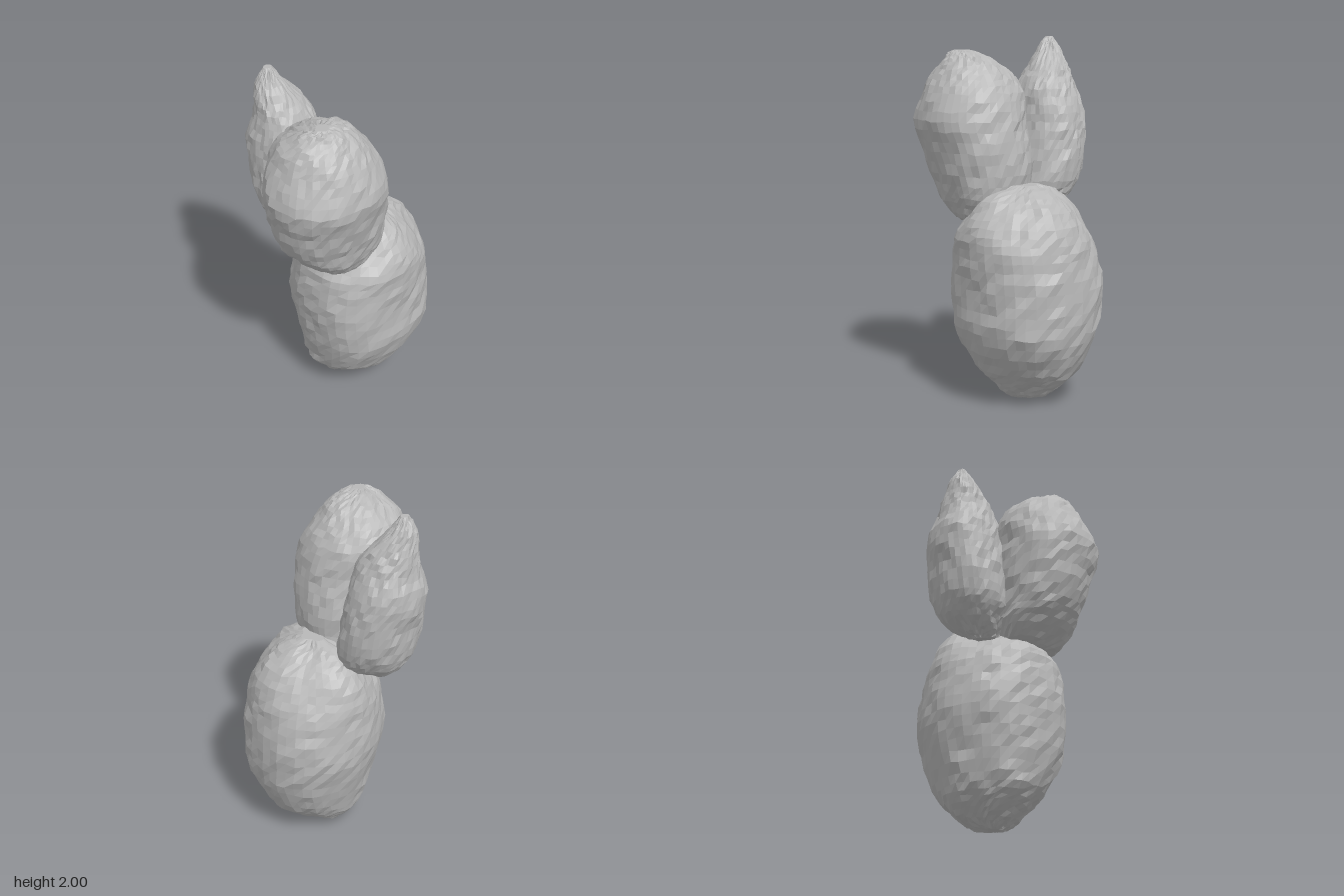
import * as THREE from 'three';

const SIDES = 44;

// Small seeded generator for the fine roughness
function seeded(seed) {
  let s = seed;
  return () => {
    s = (s * 16807) % 2147483647;
    return s / 2147483647 - 0.5;
  };
}

// Broad dents and swellings across the surface
function bump(x, y, z) {
  return 0.004 * Math.sin(19 * z + 9 * x) * Math.cos(21 * y + 7 * x)
    + 0.004 * Math.sin(37 * y + 23 * z) * Math.sin(31 * x - 17 * z);
}

// Lumpy closed lobe; each section is [y, xMin, xMax, zMin, zMax].
// corners swell the diagonals at mid height: [+x+z, -x+z, -x-z, +x-z]
// pinch draws the diagonals in towards the ends: [bottom, top]
function lobe(name, material, sections, corners, pinch, rows, seed) {
  const low = new THREE.CatmullRomCurve3(
    sections.map(([y, x0, , z0]) => new THREE.Vector3(x0, y, z0)), false, 'catmullrom');
  const high = new THREE.CatmullRomCurve3(
    sections.map(([y, , x1, , z1]) => new THREE.Vector3(x1, y, z1)), false, 'catmullrom');
  const random = seeded(seed);
  const round = (v) => Math.sign(v) * Math.pow(Math.abs(v), 0.95);
  const positions = [];
  const index = [];

  for (let i = 0; i <= rows; i++) {
    const t = i / rows;
    const a = low.getPoint(t);
    const b = high.getPoint(t);
    const c = a.clone().add(b).multiplyScalar(0.5);
    const rx = (b.x - a.x) / 2;
    const rz = (b.z - a.z) / 2;
    const rough = i === 0 || i === rows ? 0 : 1;
    const middle = Math.sin(Math.PI * t) ** 2;
    const inward = rx * pinch[t < 0.5 ? 0 : 1] * (1 - middle);
    for (let j = 0; j < SIDES; j++) {
      const angle = (j / SIDES) * Math.PI * 2;
      const dx = round(Math.cos(angle));
      const dz = round(Math.sin(angle));
      const x = c.x + rx * dx;
      const z = c.z + rz * dz;
      const swell = corners[Math.floor((4 * j) / SIDES)] * middle;
      const push = (swell - inward) * Math.sin(2 * angle) ** 2
        + rough * (bump(x, c.y, z) + random() * 0.012);
      positions.push(x + dx * push, c.y + rough * random() * 0.012, z + dz * push);
    }
  }
  for (let i = 0; i < rows; i++) {
    for (let j = 0; j < SIDES; j++) {
      const p = i * SIDES + j;
      const q = i * SIDES + (j + 1) % SIDES;
      index.push(p, p + SIDES, q, q, p + SIDES, q + SIDES);
    }
  }

  // Close both ends
  const addCap = (row, top) => {
    const [y, x0, x1, z0, z1] = sections[top ? sections.length - 1 : 0];
    const centre = positions.length / 3;
    positions.push((x0 + x1) / 2, y, (z0 + z1) / 2);
    for (let j = 0; j < SIDES; j++) {
      const p = row * SIDES + j;
      const q = row * SIDES + (j + 1) % SIDES;
      if (top) index.push(centre, q, p);
      else index.push(centre, p, q);
    }
  };
  addCap(0, false);
  addCap(rows, true);

  const geometry = new THREE.BufferGeometry();
  geometry.setAttribute('position', new THREE.Float32BufferAttribute(positions, 3));
  geometry.setIndex(index);
  const flat = geometry.toNonIndexed();
  flat.computeVertexNormals();
  const mesh = new THREE.Mesh(flat, material);
  mesh.name = name;
  return mesh;
}

export function createModel() {
  const model = new THREE.Group();
  model.name = 'lobedPad';
  const grey = new THREE.MeshStandardMaterial({ color: 0xb8b8b8, flatShading: true });
  grey.name = 'stone grey';

  // Large lower pad
  model.add(lobe('lowerPad', grey, [
    [0.0, 0.02, 0.1, -0.17, -0.09],
    [0.03, -0.1, 0.18, -0.28, 0.0],
    [0.1, -0.19, 0.25, -0.37, 0.1],
    [0.2, -0.25, 0.33, -0.46, 0.18],
    [0.4, -0.3, 0.42, -0.54, 0.22],
    [0.6, -0.335, 0.42, -0.545, 0.25],
    [0.8, -0.325, 0.43, -0.53, 0.25],
    [0.95, -0.305, 0.435, -0.5, 0.23],
    [1.08, -0.24, 0.37, -0.43, 0.14],
    [1.16, -0.15, 0.29, -0.33, 0.05],
    [1.205, -0.02, 0.15, -0.22, -0.08],
  ], [0.04, -0.015, 0.018, 0.018], [0.25, 0.28], 34, 17));

  // Broad upper pad, leaning forward
  model.add(lobe('leftUpperPad', grey, [
    [0.98, 0.06, 0.24, 0.06, 0.18],
    [1.01, -0.04, 0.31, -0.04, 0.26],
    [1.1, -0.09, 0.36, -0.12, 0.37],
    [1.2, -0.1, 0.39, -0.15, 0.45],
    [1.38, -0.11, 0.435, -0.145, 0.515],
    [1.55, -0.11, 0.475, -0.115, 0.55],
    [1.7, -0.11, 0.43, -0.07, 0.5],
    [1.8, -0.06, 0.38, 0.0, 0.455],
    [1.87, 0.03, 0.33, 0.06, 0.4],
    [1.91, 0.11, 0.29, 0.14, 0.35],
    [1.93, 0.18, 0.25, 0.22, 0.3],
  ], [0.0, 0.0, 0.01, 0.01], [-0.08, 0.17], 30, 91),
  // Narrow upper pad with a pointed tip
  lobe('rightUpperPad', grey, [
    [1.0, -0.19, -0.07, 0.05, 0.12],
    [1.03, -0.27, -0.03, -0.01, 0.17],
    [1.1, -0.37, -0.02, -0.1, 0.235],
    [1.2, -0.425, -0.03, -0.15, 0.285],
    [1.4, -0.455, -0.08, -0.15, 0.3],
    [1.56, -0.475, -0.1, -0.12, 0.295],
    [1.71, -0.44, -0.12, -0.07, 0.27],
    [1.82, -0.42, -0.19, -0.01, 0.25],
    [1.93, -0.4, -0.27, 0.08, 0.22],
    [2.0, -0.36, -0.32, 0.13, 0.18],
  ], [0.02, 0.012, 0.005, 0.0], [0.15, 0.08], 30, 233));

  return model;
}
